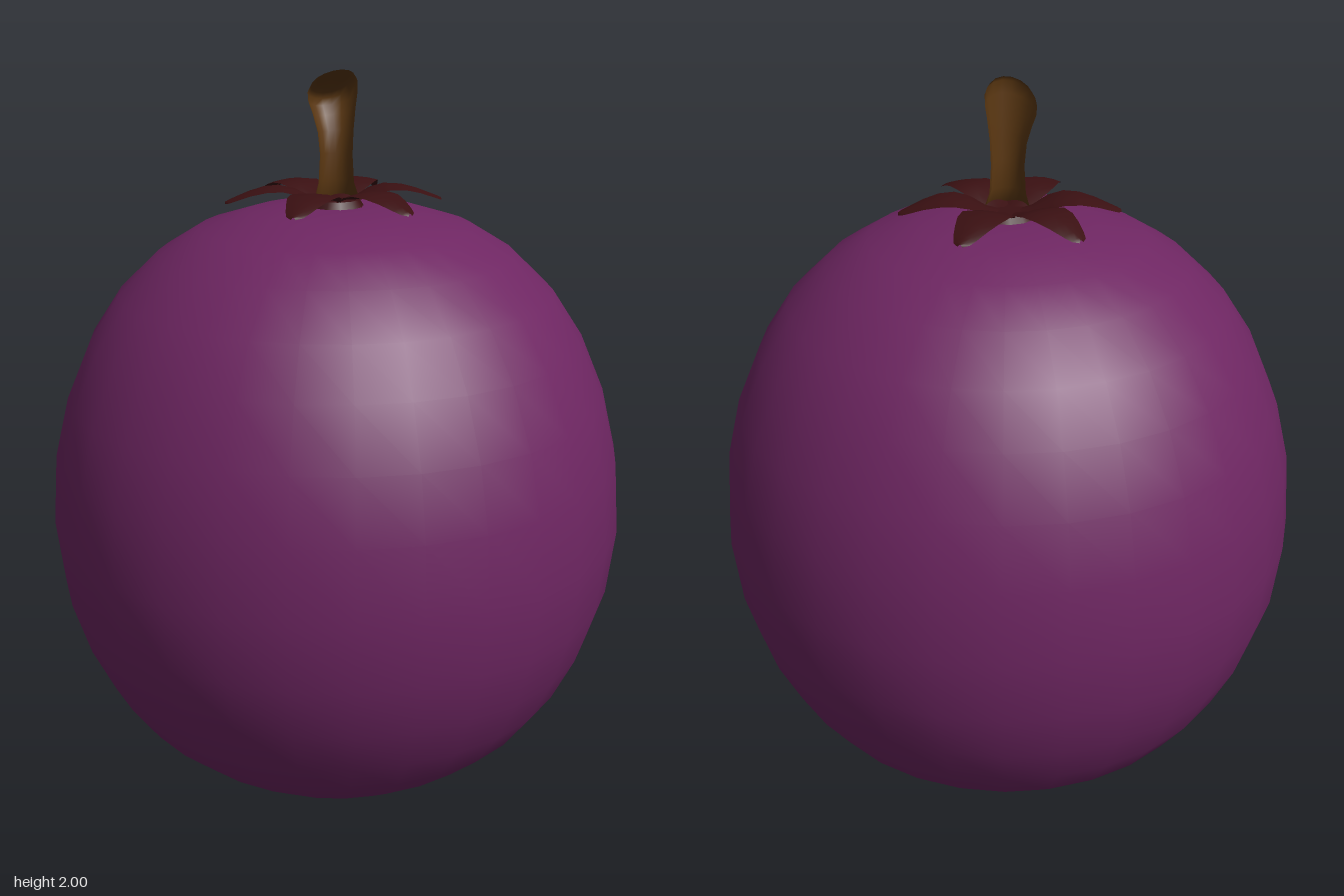
import * as THREE from 'three';

const skin = new THREE.MeshStandardMaterial({ color: 0x6e2662, name: 'purple skin' });
const leafRed = new THREE.MeshStandardMaterial({ color: 0x3a1012, name: 'dark red leaf', side: THREE.DoubleSide });
const bark = new THREE.MeshStandardMaterial({ color: 0x5c3812, name: 'brown stem' });

// Smooth surface from a grid of points: point(row, column) returns [x, y, z]
function gridSurface(rows, cols, point) {
  const pos = [], index = [];
  for (let i = 0; i <= rows; i++) for (let j = 0; j <= cols; j++) pos.push(...point(i, j));
  for (let i = 0; i < rows; i++) for (let j = 0; j < cols; j++) {
    const a = i * (cols + 1) + j, b = a + 1, c = a + cols + 1, d = c + 1;
    index.push(a, c, b, b, c, d);
  }
  const g = new THREE.BufferGeometry();
  g.setAttribute('position', new THREE.Float32BufferAttribute(pos, 3));
  g.setIndex(index);
  g.computeVertexNormals();
  return g;
}

function addMesh(parent, name, geometry, material) {
  const mesh = new THREE.Mesh(geometry, material);
  mesh.name = name;
  parent.add(mesh);
  return mesh;
}

// Petal outline stations: [distance from centre, half width, height]
const PETAL = [
  [0.02, 0.03, 1.660], [0.06, 0.04, 1.668], [0.10, 0.058, 1.687], [0.14, 0.064, 1.696],
  [0.18, 0.058, 1.694], [0.22, 0.045, 1.684], [0.255, 0.032, 1.671], [0.275, 0.022, 1.663], [0.284, 0.006, 1.659],
];

function petalGeometry() {
  return gridSurface(PETAL.length - 1, 4, (i, j) => {
    const [r, w, y] = PETAL[i], s = j / 2 - 1;
    return [r, y + 0.006 * (1 - s * s), -s * w];
  });
}

// Stem rings: [centre offset in x and z, height, radius, lean of the ring]
const STEM = [
  [0.005, 1.64, 0.075, 0], [0.003, 1.67, 0.058, 0], [0, 1.71, 0.046, 0], [0, 1.78, 0.042, 0],
  [-0.003, 1.84, 0.046, 0.1], [-0.010, 1.89, 0.055, 0.3], [-0.015, 1.925, 0.063, 0.45],
  [-0.016, 1.95, 0.064, 0.55], [-0.017, 1.963, 0.056, 0.6], [-0.017, 1.967, 0.04, 0.6], [-0.017, 1.969, 0, 0.6],
];

function stemGeometry() {
  const sides = 16;
  return gridSurface(STEM.length - 1, sides, (i, j) => {
    const [c, y, r, lean] = STEM[i], a = -j / sides * Math.PI * 2;
    return [c + r * Math.cos(a), y + lean * r * Math.cos(a - Math.PI / 4), c + r * Math.sin(a)];
  });
}

export function createModel() {
  const model = new THREE.Group();
  model.name = 'fruit';

  // Round body
  const profile = [
    [0, 0.006], [0.13, 0.012], [0.26, 0.045], [0.37, 0.095], [0.48, 0.17], [0.575, 0.255], [0.65, 0.36],
    [0.71, 0.485], [0.755, 0.63], [0.775, 0.81], [0.76, 1.0], [0.72, 1.16], [0.655, 1.31], [0.575, 1.43],
    [0.47, 1.53], [0.36, 1.597], [0.23, 1.637], [0.11, 1.65], [0, 1.648],
  ].map(([r, y]) => new THREE.Vector2(r, y));
  addMesh(model, 'body', new THREE.LatheGeometry(profile, 30), skin);

  // Crown of six petals around a small collar
  const crown = new THREE.Group();
  crown.name = 'crown';
  model.add(crown);
  const collar = addMesh(crown, 'collar', new THREE.CylinderGeometry(0.06, 0.075, 0.024, 12), leafRed);
  collar.position.y = 1.655;
  const petal = petalGeometry();
  for (const degrees of [28, 90, 152, 207, 270, 332]) {
    const leaf = addMesh(crown, 'petal', petal, leafRed);
    leaf.rotation.y = THREE.MathUtils.degToRad(degrees);
    leaf.position.x = -0.006;
  }

  // Stem with a slanted cut end
  addMesh(model, 'stem', stemGeometry(), bark);

  // Small scar underneath
  const scar = addMesh(model, 'blossomScar', new THREE.CylinderGeometry(0.055, 0.05, 0.009, 10), bark);
  scar.position.y = 0.0045;

  return model;
}
